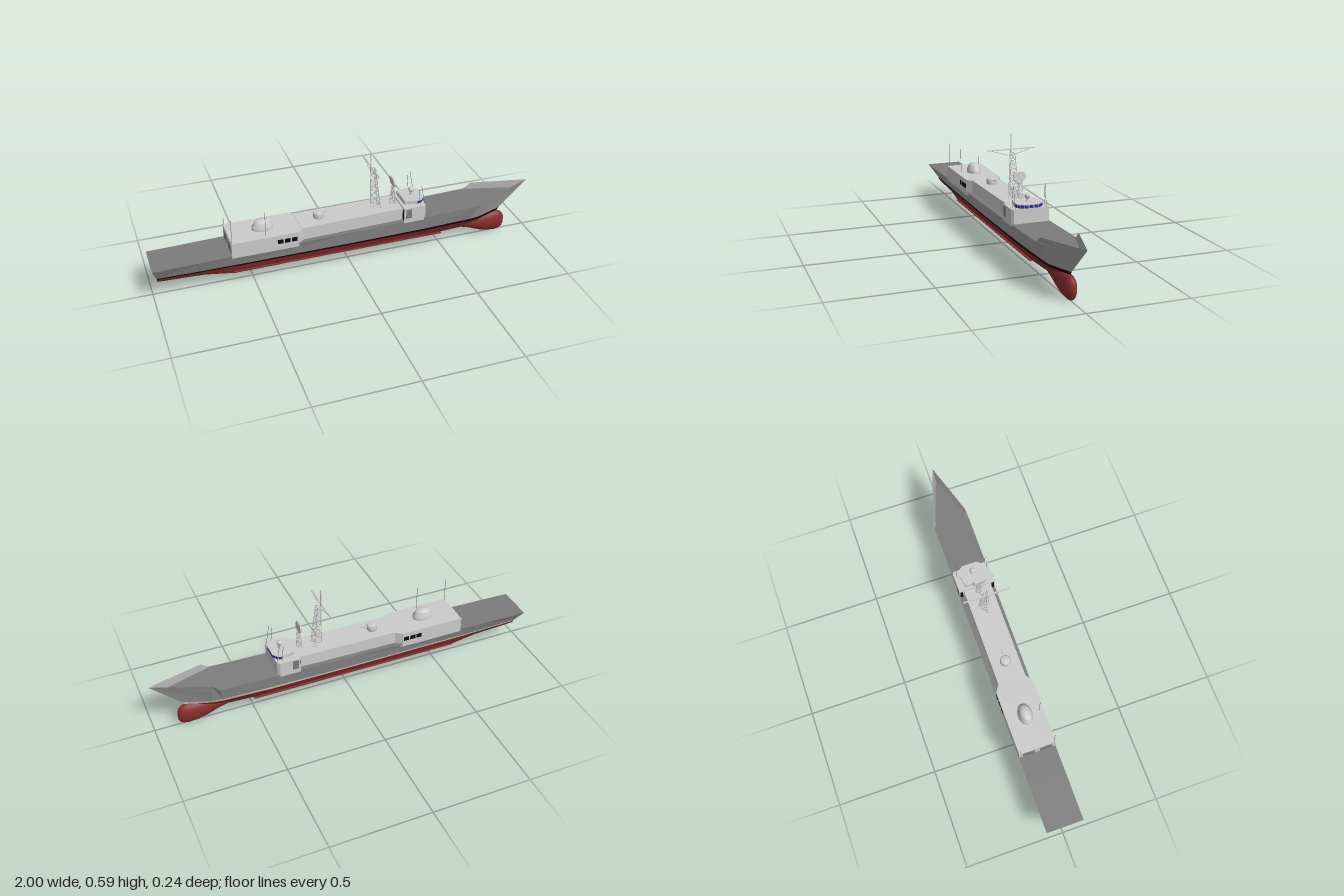
import * as THREE from 'three';
import { mergeVertices } from 'three/addons/utils/BufferGeometryUtils.js';

const mat = (color, flatShading = false) => new THREE.MeshStandardMaterial({ color, flatShading, side: THREE.DoubleSide });
const GREY = mat(0xcccccc), HULL = mat(0xa4a4a4), DECK = mat(0x7c7c7c), RED = mat(0x8a2c2c), BLACK = mat(0x0c0c0c), BLUE = mat(0x2a2aa0);
const V = (x, y, z) => new THREE.Vector3(x, y, z);

export function createModel() {
  const root = new THREE.Group();

  const add = (name, geo, m, x = 0, y = 0, z = 0, parent = root) => {
    const mesh = new THREE.Mesh(geo, m);
    mesh.name = name;
    mesh.position.set(x, y, z);
    parent.add(mesh);
    return mesh;
  };
  const box = (name, m, x0, x1, y0, y1, z0, z1) =>
    add(name, new THREE.BoxGeometry(x1 - x0, y1 - y0, z1 - z0), m, (x0 + x1) / 2, (y0 + y1) / 2, (z0 + z1) / 2);

  // Thin rod between two points
  const rod = (name, a, b, r, m = GREY, parent = root) => {
    const d = b.clone().sub(a);
    const mesh = add(name, new THREE.CylinderGeometry(r, r, d.length(), 6), m, 0, 0, 0, parent);
    mesh.position.copy(a).add(b).multiplyScalar(0.5);
    mesh.quaternion.setFromUnitVectors(V(0, 1, 0), d.normalize());
  };

  // Skin stretched over rows of [x, y, z]; s mirrors it across the centre line
  const skin = (name, rows, m, s = 1, smooth = false) => {
    const pos = [];
    for (let j = 0; j < rows.length - 1; j++)
      for (let i = 0; i < rows[j].length - 1; i++) {
        const a = rows[j][i], b = rows[j][i + 1], c = rows[j + 1][i + 1], d = rows[j + 1][i];
        const tris = s > 0 ? [a, d, b, b, d, c] : [a, b, d, b, c, d];
        for (const p of tris) pos.push(p[0], p[1], p[2] * s);
      }
    let g = new THREE.BufferGeometry();
    g.setAttribute('position', new THREE.Float32BufferAttribute(pos, 3));
    if (smooth) g = mergeVertices(g, 1e-5);
    g.computeVertexNormals();
    return add(name, g, m);
  };

  // Upright block from a half plan of [x, z], mirrored in z
  const block = (name, half, y0, y1, m) => {
    const pts = [...half, ...half.slice().reverse().map(([x, z]) => [x, -z])];
    const g = new THREE.ExtrudeGeometry(new THREE.Shape(pts.map(([x, z]) => new THREE.Vector2(x, -z))),
      { depth: y1 - y0, bevelEnabled: false });
    g.rotateX(-Math.PI / 2);
    return add(name, g, m, 0, y0, 0);
  };

  // Hull lines: sheer, waterline, boot stripe, chine and bottom
  const sheer = [[-1, .194, .094], [-.6, .202, .095], [0, .213, .095], [.4, .221, .095], [.68, .229, .095], [.72, .26, .09], [1, .278, 0]];
  const water = [[-.978, .119, .042], [-.6, .121, .052], [0, .122, .055], [.4, .124, .053], [.66, .127, .047], [.71, .128, .042], [.848, .134, 0]];
  const boot = [[-.976, .112, .04], [-.6, .112, .05], [0, .112, .053], [.4, .111, .051], [.66, .112, .042], [.71, .113, .036], [.84, .12, 0]];
  const chine = [[-.975, .1, .035], [-.6, .088, .042], [0, .086, .043], [.4, .087, .04], [.66, .09, .028], [.71, .092, .024], [.84, .1, 0]];
  const bottom = [[-.972, .091, .027], [-.59, .06, .032], [0, .063, .033], [.4, .066, .03], [.66, .07, .018], [.71, .075, .014], [.83, .08, 0]];
  // extra station where the stern rises
  const rise = (row, p) => row.splice(1, 0, p);
  rise(sheer, [-.75, .199, .095]);
  rise(water, [-.75, .12, .049]);
  rise(boot, [-.75, .112, .047]);
  rise(chine, [-.75, .096, .04]);
  rise(bottom, [-.75, .084, .03]);
  const keel = bottom.map(([x, y]) => [x, y - .002, 0]);

  for (const s of [1, -1]) {
    skin('hullSide', [sheer, water], HULL, s);
    skin('bootStripe', [water, boot], s > 0 ? BLACK : GREY, s);
    skin('underwaterHull', [boot, chine, bottom, keel], RED, s);
    box('bilgeKeel', RED, -.6, .5, .074, .078, s * .043 - .006, s * .043 + .006);
  }
  // Transom, grey above and red below
  const across = ([x, y, z]) => [[x, y, z], [x, y, -z]];
  skin('transom', [across(sheer[0]), across(water[0]), across(boot[0])], HULL);
  skin('lowerTransom', [across(boot[0]), across(chine[0]), across(bottom[0])], RED);
  // Weather deck, sunk behind the bow bulwark
  const deckEdge = [...sheer.slice(0, 6), [.71, .23, .087], [.945, .238, 0]];
  skin('deck', [deckEdge, deckEdge.map(([x, y, z]) => [x, y, -z])], DECK);

  // Bulbous bow: oval sections [x, top, bottom, half width]
  const bulb = [[.52, .1, .067, .02], [.62, .11, .063, .024], [.68, .115, .045, .027], [.74, .118, .02, .029], [.79, .12, .008, .03],
    [.83, .12, .004, .029], [.855, .114, .008, .025], [.87, .1, .017, .018], [.878, .085, .03, .009], [.88, .058, .057, 0]];
  skin('bulbousBow', bulb.map(([x, t, b, w]) => Array.from({ length: 21 }, (_, i) => {
    const a = i / 20 * Math.PI * 2;
    return [x, (t + b) / 2 + Math.cos(a) * (t - b) / 2, Math.sin(a) * w];
  })), RED, 1, true);

  // Superstructure
  block('hangar', [[-.615, .095], [-.285, .095], [-.25, .071], [-.25, 0]], .19, .272, GREY);
  const mid = block('midHouse', [[-.26, .071], [.28, .071]], .2, .274, GREY);
  const mp = mid.geometry.attributes.position;
  for (let i = 0; i < mp.count; i++) if (mp.getY(i) > .03 && mp.getX(i) > 0) mp.setY(i, .083);
  mid.geometry.computeVertexNormals();
  block('bridgeHouse', [[.27, .095], [.375, .095], [.388, .085]], .21, .292, GREY);
  for (const s of [1, -1]) {
    for (let i = 0; i < 3; i++)
      box('hangarWindow', BLACK, -.388 + i * .036, -.36 + i * .036, .226, .248, s * .0955 - .001, s * .0955 + .001);
    box('hangarDoor', DECK, -.617, -.614, .208, .255, s * .045 - .03, s * .045 + .03);
    box('bridgeSideDoor', DECK, .28, .31, .235, .285, s * .0955 - .001, s * .0955 + .001);
    box('bridgeAftDoor', BLACK, .268, .271, .225, .28, s * .084 - .007, s * .084 + .007);
  }

  // Wheelhouse with its band of windows
  const plan = [[.285, .055], [.35, .066], [.372, .062], [.392, .036]];
  block('wheelhouse', plan, .29, .31, GREY);
  block('wheelhouseRoof', plan.map(([x, z]) => [x + .002, z * 1.04]), .309, .313, GREY);
  const pane = (a, b, n) => {
    const dx = b[0] - a[0], dz = b[1] - a[1], w = Math.hypot(dx, dz) / n;
    for (let i = 0; i < n; i++) {
      const t = (i + .5) / n;
      add('bridgeWindow', new THREE.BoxGeometry(w * .8, .014, .003), BLUE, a[0] + dx * t, .301, a[1] + dz * t)
        .rotation.y = -Math.atan2(dz, dx);
    }
  };
  pane([.392, .036], [.392, -.036], 3);
  for (const s of [1, -1]) {
    pane([.392, s * .036], [.372, s * .062], 2);
    pane([.372, s * .062], [.35, s * .066], 1);
  }
  const lathe = pts => new THREE.LatheGeometry(pts.map(p => new THREE.Vector2(...p)), 24);
  add('radomePedestal', lathe([[.011, 0], [.007, .008], [.006, .02]]), GREY, .342, .312, 0);
  add('radome', new THREE.SphereGeometry(.014, 20, 14), GREY, .342, .341, 0);

  // Stepped dome on the hangar
  const dome = add('hangarDome', lathe([[.036, 0], [.036, .016], [.03, .024], [.028, .036], [.022, .045], [.012, .049], [0, .05]]), GREY, -.438, .272, 0);
  dome.scale.x = 1.5;

  // Small gun turret
  add('gunTurret', lathe([[.024, 0], [.026, .004], [.026, .026], [.021, .031], [0, .032]]), GREY, -.152, .276, 0);
  rod('gunBarrel', V(-.13, .299, 0), V(-.094, .306, 0), .0025);

  // Three-legged lattice tower
  const lattice = (name, foot, head, levels, r) => {
    const g = new THREE.Group();
    g.name = name;
    root.add(g);
    const at = (k, t) => foot[k].clone().lerp(head[k], t);
    for (let k = 0; k < 3; k++) {
      rod('leg', foot[k], head[k], r * 1.5, GREY, g);
      const n = (k + 1) % 3;
      for (let i = 0; i < levels; i++) {
        const t0 = i / levels, t1 = (i + 1) / levels;
        rod('rail', at(k, t1), at(n, t1), r, GREY, g);
        rod('brace', at(k, t0), at(n, t1), r, GREY, g);
        rod('brace', at(n, t0), at(k, t1), r, GREY, g);
      }
    }
  };
  lattice('mainMast', [V(.122, .272, 0), V(.168, .272, .028), V(.168, .272, -.028)],
    [V(.122, .5, 0), V(.144, .5, .013), V(.144, .5, -.013)], 6, .0014);
  rod('mastPole', V(.122, .48, 0), V(.122, .592, 0), .003);
  box('yardarm', GREY, .119, .125, .513, .517, -.12, .12);
  for (const s of [1, -1]) rod('yardBrace', V(.122, .513, s * .1), V(.122, .486, s * .012), .0018);

  // Radar tower with a rounded antenna facing the bow
  lattice('radarTower', [V(.225, .276, 0), V(.25, .276, .017), V(.25, .276, -.017)],
    [V(.235, .385, 0), V(.244, .385, .01), V(.244, .385, -.01)], 4, .0011);
  const dish = new THREE.Shape();
  dish.moveTo(-.022, -.021);
  dish.lineTo(.022, -.021);
  dish.quadraticCurveTo(.04, 0, .022, .021);
  dish.lineTo(-.022, .021);
  dish.quadraticCurveTo(-.04, 0, -.022, -.021);
  const dg = new THREE.ExtrudeGeometry(dish, { depth: .005, bevelSize: .001, bevelThickness: .002, bevelSegments: 2, curveSegments: 8 });
  dg.rotateY(Math.PI / 2);
  add('radarAntenna', dg, GREY, .237, .408, 0).rotation.z = .1;

  // Whip aerials
  rod('whipAerial', V(-.44, .27, .072), V(-.44, .402, .072), .0012, DECK);
  rod('whipAerial', V(-.61, .27, .085), V(-.61, .4, .085), .0012, DECK);
  rod('shortAerial', V(-.61, .27, -.085), V(-.61, .31, -.085), .0012, DECK);
  for (const s of [1, -1]) {
    rod('bridgeAerial', V(.385, .29, s * .078), V(.365, .4, s * .078), .0011, DECK);
    rod('bridgeAerial', V(.36, .29, s * .08), V(.35, .38, s * .08), .0011, DECK);
  }
  return root;
}
